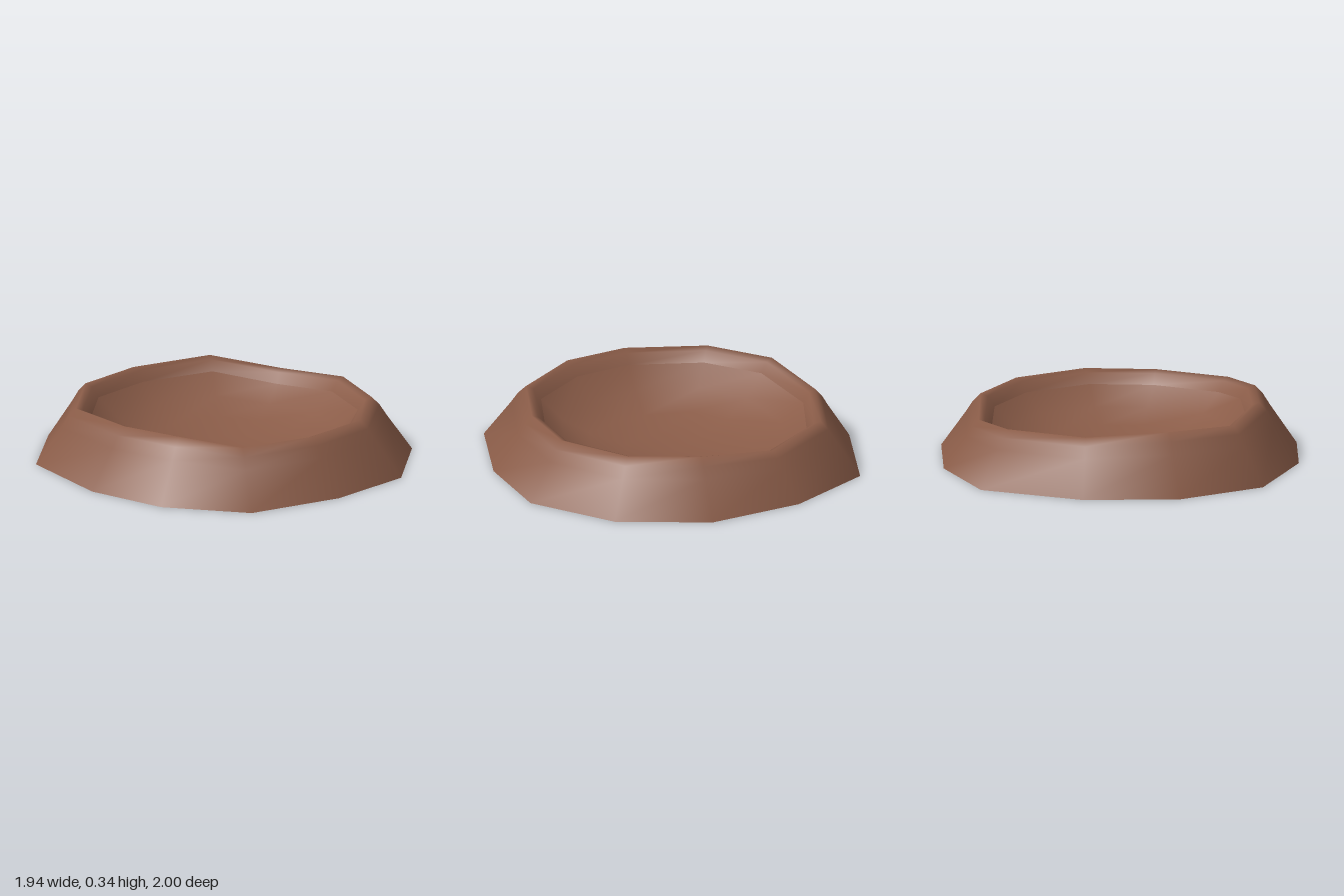
import * as THREE from 'three';

// Foot of the outer slope and inner lip of the rim, as [x, z] corners
const FOOT = [[-0.3, -1], [0.23, -1], [0.78, -0.76], [0.97, -0.27], [0.97, 0.27], [0.7, 0.73],
  [0.24, 1], [-0.26, 0.95], [-0.76, 0.73], [-0.97, 0.27], [-0.97, -0.2], [-0.76, -0.74]];
const LIP = [[-0.23, -0.71], [0.2, -0.73], [0.58, -0.54], [0.71, -0.2], [0.68, 0.2], [0.5, 0.51],
  [0.15, 0.69], [-0.2, 0.66], [-0.55, 0.49], [-0.66, 0.2], [-0.68, -0.13], [-0.55, -0.53]];
// Uneven height of the crest at each corner
const CREST = [0.325, 0.3, 0.3, 0.26, 0.3, 0.3, 0.3, 0.3, 0.3, 0.335, 0.33, 0.31];
const N = FOOT.length;

// Ring part-way from foot (t = 0) to lip (t = 1)
const slopeRing = (t, height) => FOOT.map(([x, z], i) => [
  x + (LIP[i][0] - x) * t, height(CREST[i]), z + (LIP[i][1] - z) * t]);

// Ring inside the bowl, scaled from the lip
const bowlRing = (s, height) => LIP.map(([x, z], i) => [x * s, height(CREST[i]), z * s]);

// Smooth skin over successive rings, running from outside to inside
function loft(rings, centre) {
  const points = rings.flat();
  const index = [];
  for (let r = 0; r < rings.length - 1; r++) {
    for (let i = 0; i < N; i++) {
      const a = r * N + i, b = r * N + (i + 1) % N;
      index.push(a, a + N, b, b, a + N, b + N);
    }
  }
  if (centre) {
    const last = (rings.length - 1) * N;
    points.push(centre);
    for (let i = 0; i < N; i++) index.push(last + i, points.length - 1, last + (i + 1) % N);
  }
  const geometry = new THREE.BufferGeometry();
  geometry.setAttribute('position', new THREE.Float32BufferAttribute(points.flat(), 3));
  geometry.setIndex(index);
  geometry.computeVertexNormals();
  return geometry;
}

export function createModel() {
  const group = new THREE.Group();
  group.name = 'crater';
  const earth = new THREE.MeshStandardMaterial({ color: 0x8a5c48, side: THREE.DoubleSide });
  earth.name = 'brown earth';

  // Outer slope, shoulder, crest and rounded inner lip
  const rim = new THREE.Mesh(loft([
    slopeRing(0, () => 0),
    slopeRing(0.47, (h) => h * 0.66),
    slopeRing(0.6, (h) => h * 0.86),
    slopeRing(0.74, (h) => h),
    slopeRing(0.87, (h) => h - 0.015),
    slopeRing(1, (h) => h - 0.07),
  ]), earth);
  rim.name = 'rim';

  // Hollow bowl
  const bowl = new THREE.Mesh(loft([
    bowlRing(1, (h) => h - 0.07),
    bowlRing(0.84, (h) => 0.13 + (h - 0.3) * 0.5),
    bowlRing(0.62, () => 0.065),
    bowlRing(0.34, () => 0.025),
  ], [0, 0.01, 0]), earth);
  bowl.name = 'bowl';

  group.add(rim, bowl);
  return group;
}
